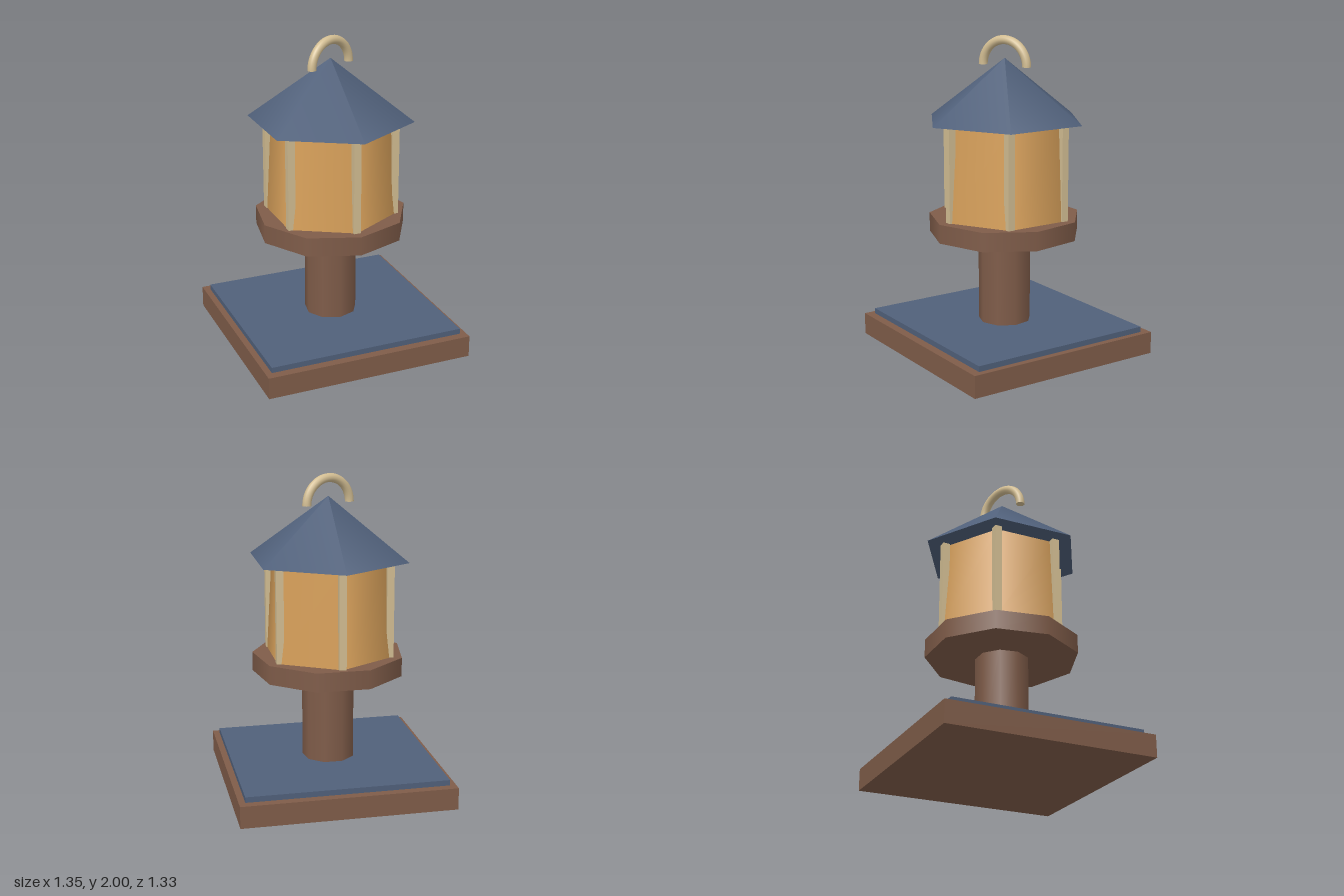
import * as THREE from 'three';

const paint = (name, color) => {
  const m = new THREE.MeshStandardMaterial({ color });
  m.name = name;
  return m;
};

export function createModel() {
  const brown = paint('wood brown', 0x7f5c49);
  const blue = paint('slate blue', 0x50607a);
  const amber = paint('amber glass', 0xdba35c);
  const cream = paint('cream trim', 0xd2bd92);

  const model = new THREE.Group();
  model.name = 'lantern';

  const add = (name, geometry, material, x, y, z, parent = model) => {
    const mesh = new THREE.Mesh(geometry, material);
    mesh.name = name;
    mesh.position.set(x, y, z);
    parent.add(mesh);
    return mesh;
  };

  // Stand something between two heights
  const box = (name, w, d, y0, y1, mat, x = 0, z = 0, parent = model) =>
    add(name, new THREE.BoxGeometry(w, y1 - y0, d), mat, x, (y0 + y1) / 2, z, parent);
  const prism = (name, rTop, rBottom, sides, y0, y1, mat) =>
    add(name, new THREE.CylinderGeometry(rTop, rBottom, y1 - y0, sides), mat, 0, (y0 + y1) / 2, 0);

  // Square foot with inset slab
  box('base', 1.35, 1.33, 0, 0.14, brown);
  box('baseSlab', 1.27, 1.22, 0.14, 0.175, blue);

  // Nine-sided column and platform
  prism('column', 0.168, 0.168, 9, 0.175, 0.75, brown);
  prism('platform', 0.483, 0.483, 9, 0.745, 0.865, brown);

  // Tapered six-sided lamp body
  prism('lampBody', 0.38, 0.42, 6, 0.865, 1.47, amber);

  // Upright bars at the six corners
  const bars = new THREE.Group();
  bars.name = 'cornerBars';
  model.add(bars);
  for (let i = 0; i < 6; i++) {
    const a = (i * Math.PI) / 3;
    box('cornerBar', 0.046, 0.046, 0.865, 1.475, cream, 0.4 * Math.sin(a), 0.4 * Math.cos(a), bars);
  }

  // Hexagonal roof
  add('roof', new THREE.ConeGeometry(0.522, 0.388, 6), blue, 0, 1.666, 0);

  // Carrying ring: half torus with closed ends, turned on the vertical axis
  const handle = new THREE.Group();
  handle.name = 'handle';
  handle.position.y = 1.812;
  handle.rotation.y = 0.4;
  model.add(handle);
  add('handleArc', new THREE.TorusGeometry(0.16, 0.028, 12, 32, Math.PI), cream, 0, 0, 0, handle);
  for (const side of [-1, 1]) {
    const cap = add('handleEnd', new THREE.CircleGeometry(0.028, 12), cream, side * 0.16, 0, 0, handle);
    cap.rotation.x = Math.PI / 2;
  }

  return model;
}
